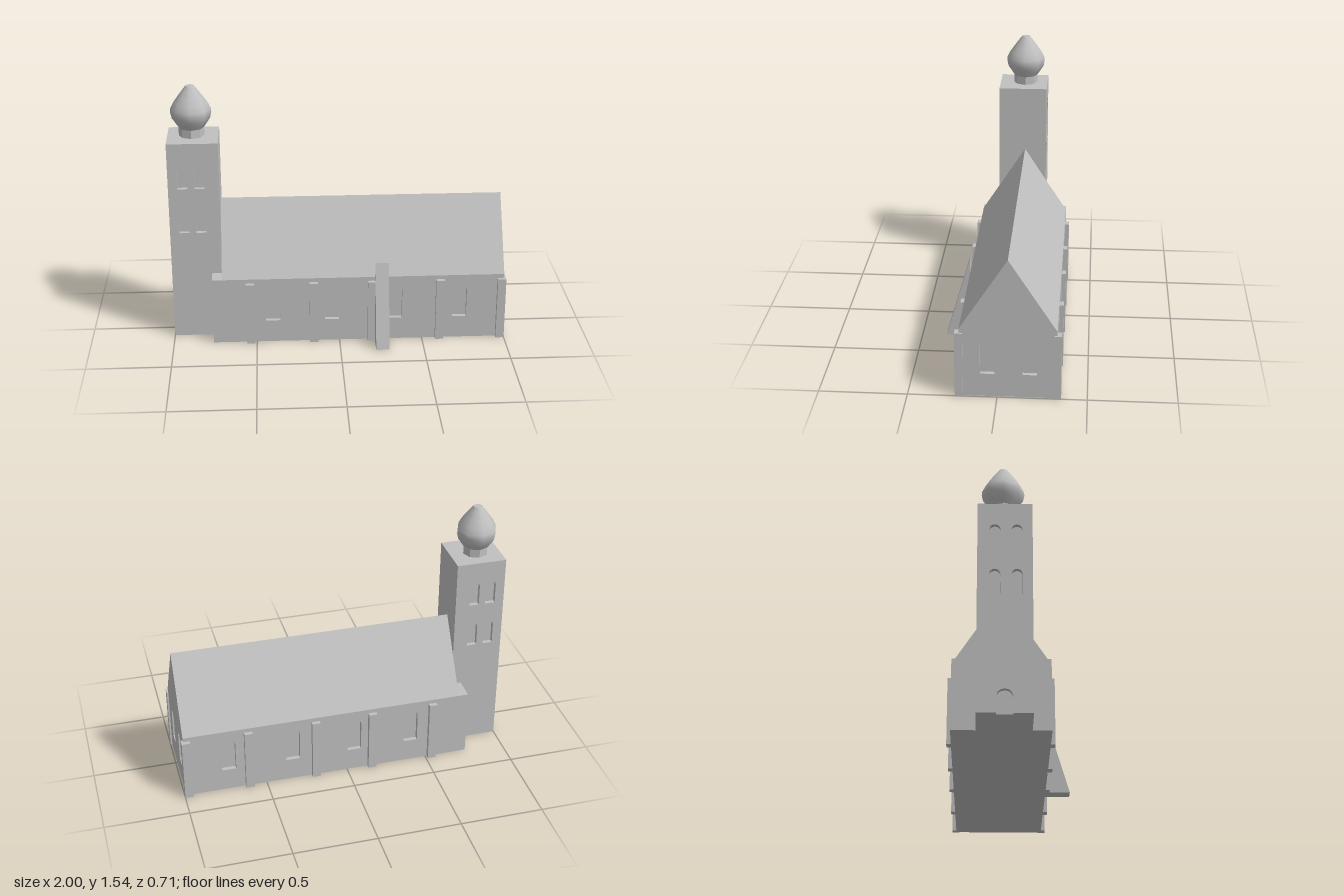
import * as THREE from 'three';

const stone = new THREE.MeshStandardMaterial({ color: 0xc0c0c0 });
stone.name = 'pale grey stone';

const D = 0.025; // depth of the window recesses

// Walls face front (+z), east (+x), back (-z) or west (-x)
const TURN = { front: 0, east: Math.PI / 2, back: Math.PI, west: -Math.PI / 2 };

function add(parent, name, geometry) {
  const mesh = new THREE.Mesh(geometry, stone);
  mesh.name = name;
  parent.add(mesh);
  return mesh;
}

function box(parent, name, x0, x1, y0, y1, z0, z1) {
  const g = new THREE.BoxGeometry(x1 - x0, y1 - y0, z1 - z0);
  g.translate((x0 + x1) / 2, (y0 + y1) / 2, (z0 + z1) / 2);
  return add(parent, name, g);
}

const toShape = pts => new THREE.Shape(pts.map(p => new THREE.Vector2(...p)));
const rect = (u0, u1, h) => [[u0, 0], [u1, 0], [u1, h], [u0, h]];

// Round-headed opening centred on u
function archHole(u, width, y0, y1) {
  const r = width / 2, path = new THREE.Path();
  path.moveTo(u - r, y0);
  path.lineTo(u + r, y0);
  path.lineTo(u + r, y1 - r);
  path.absarc(u, y1 - r, r, 0, Math.PI, false);
  path.lineTo(u - r, y0);
  return path;
}

// Wall slab with openings; its outer face lies at distance `offset` from the centre
function wall(parent, name, side, offset, shape, holes) {
  shape.holes.push(...holes);
  const g = new THREE.ExtrudeGeometry(shape, { depth: D, bevelEnabled: false, curveSegments: 10 });
  g.translate(0, 0, offset - D);
  g.rotateY(TURN[side]);
  return add(parent, name, g);
}

function buildNave() {
  const nave = new THREE.Group();
  nave.name = 'nave';
  const W = -0.76, E = 0.99, F = 0.21, B = -0.33, H = 0.415, ridgeY = 0.835, ridgeZ = -0.06;
  box(nave, 'naveCore', W, E - D, 0, H, B + D, F - D);

  // Long walls with four windows each
  const windows = [-0.4, -0.045, 0.335, 0.725];
  wall(nave, 'frontWall', 'front', F, toShape(rect(W, E, H)),
    windows.map(x => archHole(x, 0.085, 0.14, 0.36)));
  wall(nave, 'backWall', 'back', -B, toShape(rect(-E, -W, H)),
    windows.map(x => archHole(-x, 0.085, 0.14, 0.36)));

  // East gable with two windows; u runs along -z
  const gable = toShape([[-F + D, 0], [-B - D, 0], [-B - D, H], [-B, H],
    [-ridgeZ, ridgeY], [-F, H], [-F + D, H]]);
  wall(nave, 'eastGable', 'east', E, gable,
    [-0.055, 0.18].map(u => archHole(u, 0.08, 0.14, 0.35)));

  // Pitched roof, stopping at the tower
  const roof = new THREE.ExtrudeGeometry(toShape([[-F, H], [-B, H], [-ridgeZ, ridgeY]]),
    { depth: E - D + 0.7, bevelEnabled: false });
  roof.translate(0, 0, -0.7);
  roof.rotateY(Math.PI / 2);
  add(nave, 'roof', roof);

  // Pilasters on both long walls
  for (const x of [-0.535, -0.155, 0.195, 0.605, 0.975]) {
    box(nave, 'frontPilaster', x - 0.025, x + 0.025, 0, 0.39, F - 0.02, F + 0.025);
    box(nave, 'backPilaster', x - 0.025, x + 0.025, 0, 0.39, B - 0.025, B + 0.02);
  }

  // Sloping buttress
  const buttress = new THREE.ExtrudeGeometry(toShape([[-0.355, 0], [-F, 0], [-F, 0.505]]),
    { depth: 0.08, bevelEnabled: false });
  buttress.translate(0, 0, 0.213);
  buttress.rotateY(Math.PI / 2);
  add(nave, 'slopingButtress', buttress);
  return nave;
}

function buildTower() {
  const tower = new THREE.Group();
  tower.name = 'tower';
  const W = -1, E = -0.7, F = 0.105, B = -0.195, H = 1.24;
  box(tower, 'towerCore', W + D, E, 0, H, B + D, F - D);

  // Two rows of paired windows
  const pairs = us => us.flatMap(u =>
    [archHole(u, 0.06, 0.96, 1.11), archHole(u, 0.06, 0.68, 0.835)]);
  wall(tower, 'towerFrontWall', 'front', F, toShape(rect(W, E, H)), pairs([-0.915, -0.815]));
  wall(tower, 'towerBackWall', 'back', -B, toShape(rect(-E, -W, H)), pairs([0.915, 0.815]));

  // West wall with an arched doorway cut up from the ground
  const door = -0.045, r = 0.045, west = new THREE.Shape();
  west.moveTo(B + D, 0);
  west.lineTo(door - r, 0);
  west.lineTo(door - r, 0.09);
  west.absarc(door, 0.09, r, Math.PI, 0, true);
  west.lineTo(door + r, 0);
  west.lineTo(F - D, 0);
  west.lineTo(F - D, H);
  west.lineTo(B + D, H);
  wall(tower, 'towerWestWall', 'west', -W, west, pairs([-0.1, 0.02]));

  // Eight-sided onion dome on a short neck
  const dome = new THREE.Group();
  dome.name = 'onionDome';
  dome.position.set(-0.857, H, -0.055);
  tower.add(dome);
  const neck = new THREE.CylinderGeometry(0.075, 0.075, 0.05, 8).toNonIndexed();
  neck.computeVertexNormals();
  neck.translate(0, 0.025, 0);
  add(dome, 'domeNeck', neck);
  const profile = [[0.075, 0.05], [0.09, 0.072], [0.112, 0.105], [0.12, 0.14], [0.118, 0.165],
    [0.1, 0.202], [0.073, 0.24], [0.047, 0.275], [0.025, 0.303]];
  add(dome, 'domeBulb', new THREE.LatheGeometry(profile.map(p => new THREE.Vector2(...p)), 8));
  const cap = new THREE.CircleGeometry(0.025, 8);
  cap.rotateX(-Math.PI / 2);
  cap.translate(0, 0.303, 0);
  add(dome, 'domeCap', cap);
  return tower;
}

export function createModel() {
  const church = new THREE.Group();
  church.name = 'church';
  church.add(buildNave(), buildTower());
  return church;
}
